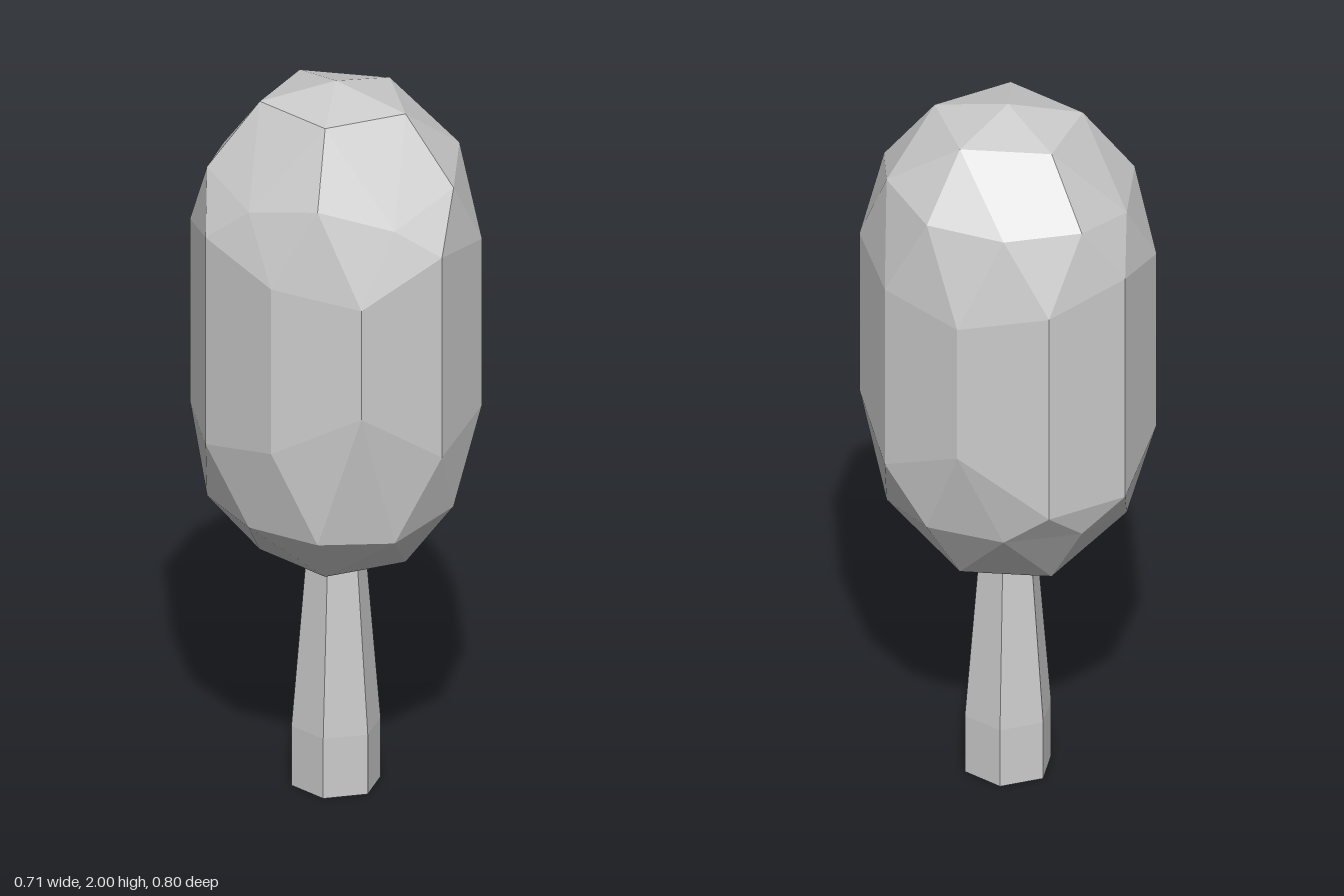
import * as THREE from 'three';

const material = new THREE.MeshStandardMaterial({ color: 0xcccccc, flatShading: true });
const SQUASH = 0.93; // the crown is slightly narrower in x

// Point at an angle (degrees from +x towards +z)
function polar(radius, degrees, y) {
  const a = THREE.MathUtils.degToRad(degrees);
  return [radius * Math.cos(a) * SQUASH, y, radius * Math.sin(a)];
}

// Rings of one faceted dome: pole, inner five, shoulder ten, rim ten
function domeRings(poleY, innerY, shoulderY, rimY) {
  return {
    pole: [0, poleY, 0],
    inner: [0, 1, 2, 3, 4].map((i) => polar(0.21, 72 * i, innerY)),
    shoulder: shoulderY.map((y, k) => polar(k % 2 ? 0.34 : 0.355, 36 * k, y)),
    rim: rimY.map((y, k) => polar(0.4, 18 + 36 * k, y)),
  };
}

function crownGeometry() {
  const top = domeRings(2, 1.95,
    [1.78, 1.81, 1.77, 1.7, 1.77, 1.72, 1.77, 1.75, 1.78, 1.77],
    [1.55, 1.585, 1.62, 1.51, 1.55, 1.62, 1.57, 1.62, 1.565, 1.52]);
  const bottom = domeRings(0.65, 0.67,
    [0.865, 0.84, 0.86, 0.81, 0.82, 0.82, 0.83, 0.84, 0.87, 0.86],
    [1.02, 1.11, 1.05, 1.2, 1.08, 1.03, 1.05, 0.96, 0.96, 1.13]);
  const positions = [];
  const tri = (a, b, c) => positions.push(...a, ...b, ...c);

  // Both domes share one pattern; the upper one has its winding reversed
  for (const dome of [top, bottom]) {
    const face = dome === top ? (a, b, c) => tri(a, c, b) : tri;
    const { pole, inner, shoulder, rim } = dome;
    for (let i = 0; i < 5; i++) {
      const a = inner[i], b = inner[(i + 1) % 5];
      const mid = shoulder[2 * i + 1];
      face(pole, a, b);
      face(a, shoulder[2 * i], mid);
      face(a, mid, b);
      face(b, mid, shoulder[(2 * i + 2) % 10]);
    }
    for (let k = 0; k < 10; k++) {
      face(shoulder[k], rim[(k + 9) % 10], rim[k]);
      face(shoulder[k], rim[k], shoulder[(k + 1) % 10]);
    }
  }

  // Upright panels between the rims
  for (let k = 0; k < 10; k++) {
    const n = (k + 1) % 10;
    tri(bottom.rim[k], top.rim[k], top.rim[n]);
    tri(bottom.rim[k], top.rim[n], bottom.rim[n]);
  }

  const geometry = new THREE.BufferGeometry();
  geometry.setAttribute('position', new THREE.Float32BufferAttribute(positions, 3));
  geometry.computeVertexNormals();
  return geometry;
}

export function createModel() {
  const model = new THREE.Group();
  model.name = 'tree';

  const add = (name, geometry, y = 0) => {
    const mesh = new THREE.Mesh(geometry, material);
    mesh.name = name;
    mesh.position.y = y;
    model.add(mesh);
  };

  // Six-sided trunk: straight foot, then a taper into the crown
  add('trunkFoot', new THREE.CylinderGeometry(0.12, 0.12, 0.17, 6, 1, false), 0.085);
  add('trunk', new THREE.CylinderGeometry(0.077, 0.12, 0.52, 6, 1, true), 0.43);

  // Faceted capsule of foliage
  add('crown', crownGeometry());

  return model;
}
